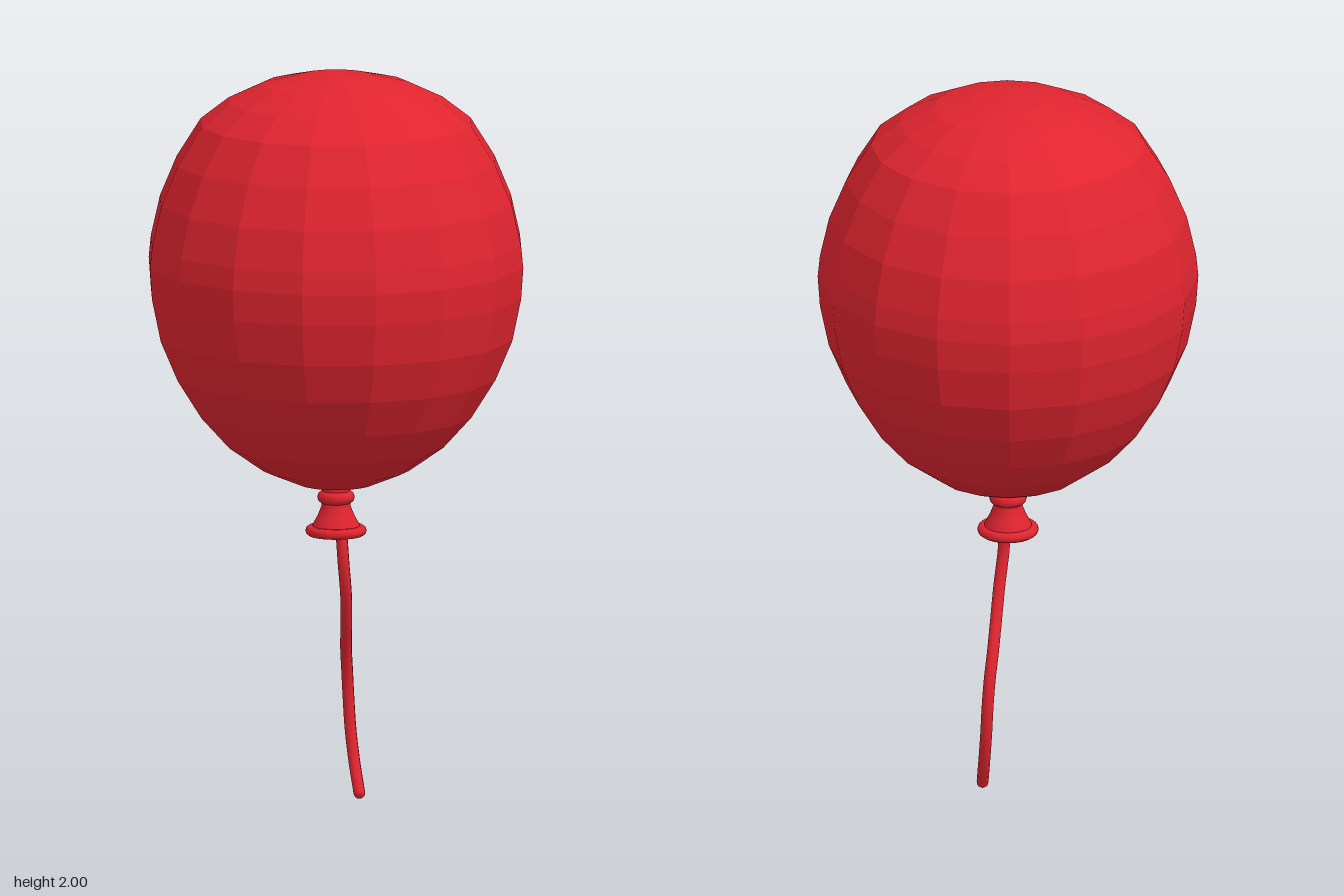
import * as THREE from 'three';

const v2 = (pts) => pts.map(([r, y]) => new THREE.Vector2(r, y));

export function createModel() {
  const group = new THREE.Group();
  group.name = 'balloon';
  const red = new THREE.MeshStandardMaterial({ color: 0xe0242f, flatShading: true });
  red.name = 'balloon red';
  const smoothRed = new THREE.MeshStandardMaterial({ color: 0xe0242f, side: THREE.DoubleSide });
  smoothRed.name = 'knot and string red';

  const add = (name, geometry, material, x = 0, y = 0, z = 0) => {
    const mesh = new THREE.Mesh(geometry, material);
    mesh.name = name;
    mesh.position.set(x, y, z);
    group.add(mesh);
    return mesh;
  };

  // Faceted body: sixteen sides with a flat facing the front
  const body = v2([
    [0, 0.855], [0.1, 0.872], [0.2, 0.913], [0.295, 0.98], [0.372, 1.065],
    [0.438, 1.17], [0.485, 1.28], [0.509, 1.395], [0.515, 1.48], [0.509, 1.54],
    [0.484, 1.65], [0.438, 1.76], [0.372, 1.865], [0.295, 1.925], [0.2, 1.97],
    [0.1, 1.993], [0, 2],
  ]);
  add('balloonBody', new THREE.LatheGeometry(body, 16, Math.PI / 16), red);

  // Neck flaring into an open skirt
  const skirt = v2([[0.066, 0.745], [0.064, 0.76], [0.05, 0.785], [0.04, 0.81], [0.037, 0.835], [0.04, 0.87]]);
  add('neckSkirt', new THREE.LatheGeometry(skirt, 24), smoothRed);

  // Tied ring and rolled lip
  for (const [name, radius, tube, y] of [['neckRing', 0.033, 0.018, 0.836], ['neckLip', 0.069, 0.014, 0.744]]) {
    add(name, new THREE.TorusGeometry(radius, tube, 10, 28).rotateX(Math.PI / 2), smoothRed, 0, y, 0);
  }

  // Wavy string, hanging from inside the skirt
  const path = new THREE.CatmullRomCurve3([
    [0.015, 0.81, 0.006], [0.035, 0.73, 0.014], [0.041, 0.66, 0.013], [0.03, 0.57, -0.008],
    [0, 0.48, -0.04], [-0.03, 0.41, -0.07], [-0.047, 0.34, -0.092], [-0.052, 0.27, -0.102],
    [-0.043, 0.18, -0.101], [-0.018, 0.095, -0.09], [0.021, 0.016, -0.069],
  ].map((p) => new THREE.Vector3(...p)));
  add('string', new THREE.TubeGeometry(path, 60, 0.016, 10), smoothRed);
  add('stringTip', new THREE.SphereGeometry(0.016, 10, 8), smoothRed, 0.021, 0.016, -0.069);

  return group;
}
